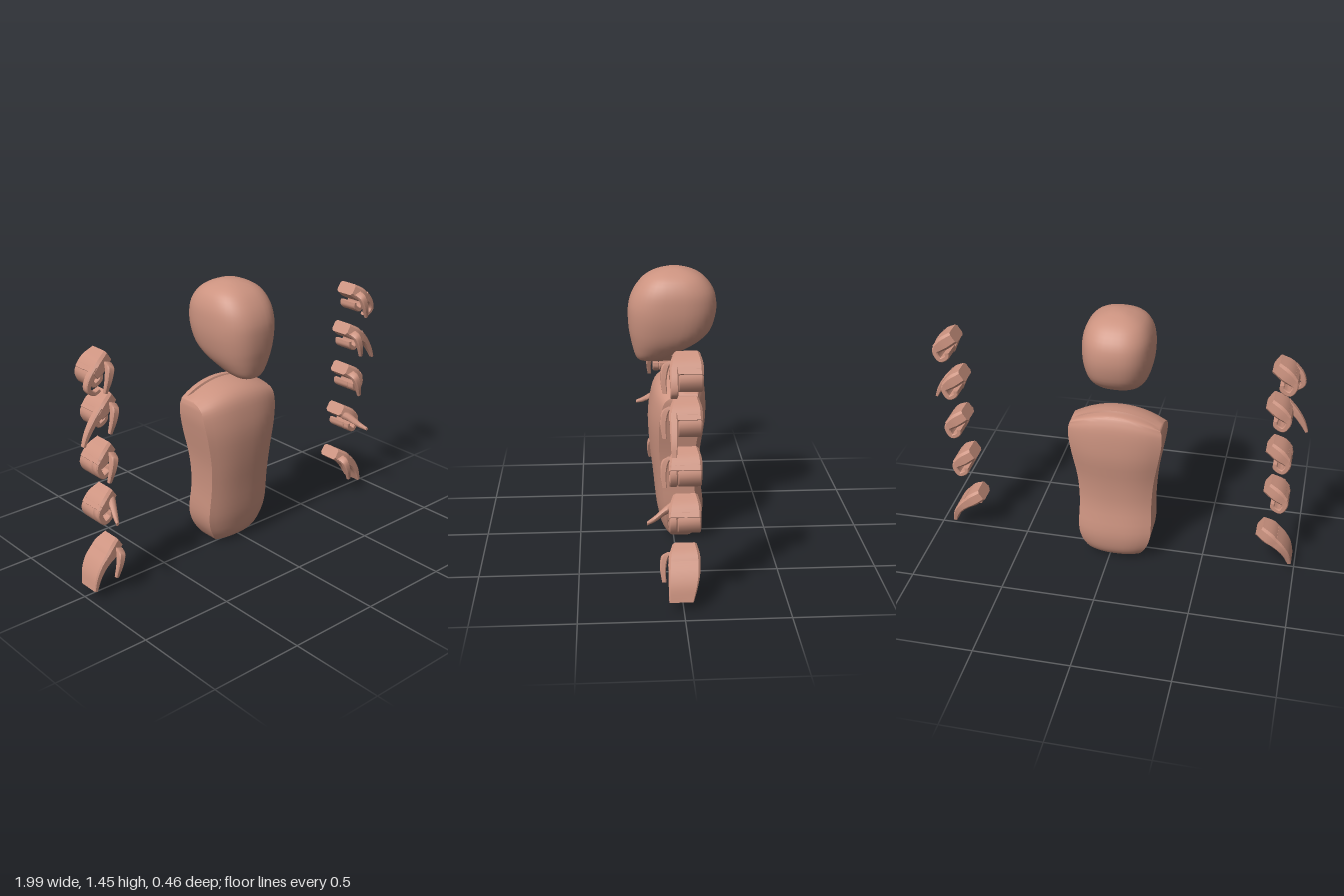
import * as THREE from 'three';
import { toCreasedNormals } from 'three/addons/utils/BufferGeometryUtils.js';

const skin = new THREE.MeshStandardMaterial({ color: 0xcc9380 });

// Smooth in-between rows for a short table of section parameters
function smooth(rows, steps) {
  const size = rows[0].length;
  const curve = new THREE.CubicInterpolant(rows.map((r, i) => i), rows.flat(), size, new Float32Array(size));
  const count = (rows.length - 1) * steps;
  return Array.from({ length: count + 1 }, (_, i) => Array.from(curve.evaluate(i / steps)));
}

// Closed skin over rings of points, capped at both ends and wound outward
function loft(name, rings, crease) {
  const n = rings[0].length, last = rings.length - 1;
  const points = rings.flat();
  for (const ring of [rings[0], rings[last]]) {
    points.push(ring.reduce((c, p) => c.add(p), new THREE.Vector3()).divideScalar(n));
  }
  const index = [];
  for (let i = 0; i < n; i++) {
    const j = (i + 1) % n;
    for (let r = 0; r < last; r++) {
      const a = r * n + i, b = r * n + j;
      index.push(a, b, b + n, a, b + n, a + n);
    }
    index.push(points.length - 2, j, i, points.length - 1, last * n + i, last * n + j);
  }
  let volume = 0;
  const cross = new THREE.Vector3();
  for (let k = 0; k < index.length; k += 3) {
    volume += points[index[k]].dot(cross.crossVectors(points[index[k + 1]], points[index[k + 2]]));
  }
  if (volume < 0) index.reverse();
  const geometry = new THREE.BufferGeometry().setFromPoints(points);
  geometry.setIndex(index);
  const mesh = new THREE.Mesh(toCreasedNormals(geometry, crease), skin);
  mesh.name = name;
  return mesh;
}

// Head: rounded-square sections, rows are y, front z, back z, half width
function makeHead() {
  const rows = smooth([
    [0.968, 0.15, 0.09, 0.035], [0.976, 0.18, 0.055, 0.062], [1.0, 0.195, 0, 0.092],
    [1.04, 0.207, -0.08, 0.122], [1.08, 0.216, -0.145, 0.145], [1.13, 0.225, -0.193, 0.163],
    [1.2, 0.23, -0.218, 0.177], [1.27, 0.226, -0.225, 0.18], [1.34, 0.2, -0.21, 0.172],
    [1.4, 0.152, -0.165, 0.143], [1.435, 0.095, -0.11, 0.095], [1.455, 0.03, -0.045, 0.035],
  ], 3);
  const power = (v) => Math.sign(v) * Math.abs(v) ** 0.8;
  return loft('head', rows.map(([y, front, back, w]) => Array.from({ length: 40 }, (_, i) => {
    const a = (i / 40) * Math.PI * 2;
    return new THREE.Vector3(-0.03 + w * power(Math.cos(a)), y,
      (front + back) / 2 + (front - back) / 2 * power(Math.sin(a)));
  })), 1.0);
}

// Torso: bulging front and back with flat sides,
// rows are y, half width, front z, back z, drop of the shoulders
function makeTorso() {
  const rows = smooth([
    [0.005, 0.09, 0, -0.07, 0], [0.02, 0.125, 0.035, -0.108, 0], [0.06, 0.155, 0.06, -0.14, 0],
    [0.12, 0.184, 0.076, -0.157, 0], [0.2, 0.198, 0.09, -0.16, 0], [0.35, 0.195, 0.105, -0.14, 0],
    [0.5, 0.204, 0.122, -0.146, 0], [0.65, 0.229, 0.13, -0.168, 0], [0.76, 0.244, 0.118, -0.17, 0.015],
    [0.84, 0.246, 0.095, -0.163, 0.035], [0.885, 0.242, 0.05, -0.148, 0.055],
    [0.907, 0.235, -0.02, -0.132, 0.06], [0.912, 0.225, -0.075, -0.095, 0.06],
  ], 3);
  return loft('torso', rows.map(([y, w, front, back, drop]) => {
    const ring = [], mid = (front + back) / 2, depth = (front - back) / 2;
    for (const s of [1, -1]) {
      for (let i = 0; i <= 12; i++) {
        const u = s * (1 - i / 6);
        const bulge = 0.68 + 0.32 * (1 - Math.abs(u) ** 2.5);
        ring.push(new THREE.Vector3(-0.03 + w * u, y - drop * u * u, mid + s * depth * bulge));
      }
    }
    return ring;
  }), 0.65);
}

// Bent slab with chamfered edges, rows are x, y, half thickness, back z, front z
function slab(name, table, side) {
  const rows = smooth(table, 4);
  return loft(name, rows.map(([x, y, h, z0, z1], i) => {
    const a = rows[Math.max(i - 1, 0)], b = rows[Math.min(i + 1, rows.length - 1)];
    const normal = new THREE.Vector2(a[1] - b[1], b[0] - a[0]).normalize();
    const c = Math.min(h, (z1 - z0) / 2) * 0.35;
    const outline = [[-h, z0 + c], [c - h, z0], [h - c, z0], [h, z0 + c],
      [h, z1 - c], [h - c, z1], [c - h, z1], [-h, z1 - c]];
    return outline.map(([d, z]) => new THREE.Vector3(side * (x + normal.x * d), y + normal.y * d, z));
  }), 0.6);
}

const palm = [[-0.018, -0.03, 0.033, -0.07, 0.045], [0.035, -0.065, 0.036, -0.082, 0.066], [0.078, -0.1, 0.024, -0.08, 0.07]];
const open = [[0.06, -0.083, 0.03, -0.081, 0.069], [0.1, -0.12, 0.024, -0.078, 0.07], [0.133, -0.17, 0.018, -0.065, 0.071], [0.155, -0.236, 0.01, -0.045, 0.07]];
const curl = (z0, z1) => [
  [0.058, -0.08, 0.028, z0, z1], [0.083, -0.116, 0.016, z0, z1], [0.06, -0.16, 0.014, z0, z1],
  [0.022, -0.142, 0.013, z0, z1], [0.018, -0.115, 0.01, z0, z1]];
const pointing = [[0.058, -0.075, 0.028, 0.03, 0.068], [0.108, -0.12, 0.019, 0.03, 0.068], [0.148, -0.178, 0.014, 0.035, 0.066], [0.173, -0.23, 0.007, 0.04, 0.064]];
const pinching = [[0.058, -0.075, 0.028, 0.03, 0.068], [0.1, -0.112, 0.018, 0.03, 0.068], [0.116, -0.158, 0.013, 0.032, 0.067], [0.085, -0.186, 0.011, 0.036, 0.065], [0.052, -0.176, 0.009, 0.04, 0.064]];
const thumbDown = [[0, -0.05, 0.02, 0.035, 0.07], [0.008, -0.07, 0.02, 0.065, 0.1], [0.025, -0.125, 0.016, 0.079, 0.107], [0.043, -0.187, 0.009, 0.078, 0.098]];
// Outstretched thumb: rings stacked along z
const thumbOut = [[0, -0.06, 0.04, 0.026], [0.02, -0.08, 0.085, 0.02], [0.04, -0.108, 0.13, 0.015], [0.058, -0.125, 0.17, 0.009]];

// Hand poses from top to bottom, with the wrist top on the left and right side
const poses = [
  { name: 'pinchingHand', left: [0.845, 1.262], right: [0.837, 1.278], index: pinching, thumb: thumbDown },
  { name: 'pointingHand', left: [0.815, 1.04], right: [0.82, 1.07], index: pointing, thumb: thumbDown },
  { name: 'fistHand', left: [0.815, 0.8], right: [0.837, 0.818], index: curl(0.03, 0.068), thumb: thumbDown },
  { name: 'thumbOutHand', left: [0.79, 0.557], right: [0.842, 0.572], index: curl(0.03, 0.068), thumb: null },
  { name: 'openHand', left: [0.757, 0.29], right: [0.82, 0.29], index: null, thumb: thumbDown },
];

function makeHand(pose, side) {
  const hand = new THREE.Group();
  hand.name = (side > 0 ? 'left ' : 'right ') + pose.name;
  hand.add(slab('palm', palm, side));
  hand.add(slab('fingers', pose.index ? curl(-0.08, 0.029) : open, side));
  if (pose.index) hand.add(slab('indexFinger', pose.index, side));
  if (pose.thumb) {
    hand.add(slab('thumb', pose.thumb, side));
  } else {
    hand.add(loft('thumb', smooth(thumbOut, 4).map(([x, y, z, r]) => Array.from({ length: 8 }, (_, i) => {
      const a = ((i + 0.5) / 8) * Math.PI * 2;
      return new THREE.Vector3(side * (x + r * Math.cos(a)), y + r * Math.sin(a), z);
    })), 0.9));
  }
  const [x, y] = side > 0 ? pose.left : pose.right;
  hand.position.set(side * x, y, 0);
  return hand;
}

export function createModel() {
  const model = new THREE.Group();
  model.name = 'mannequinWithHandPoses';
  model.add(makeHead(), makeTorso());
  for (const pose of poses) {
    for (const side of [1, -1]) model.add(makeHand(pose, side));
  }
  return model;
}
